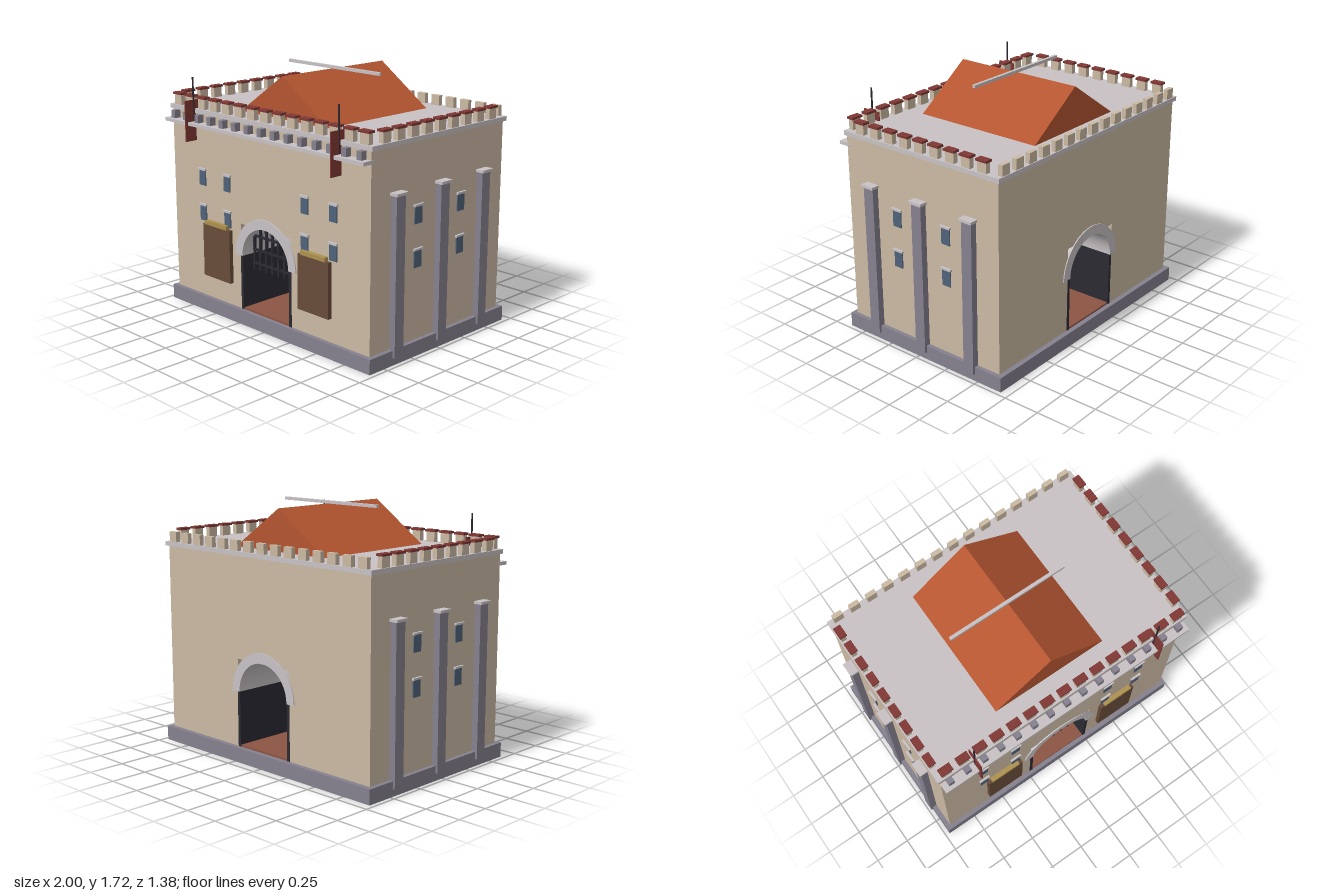
import * as THREE from 'three';

const mat = (name, color) => {
  const m = new THREE.MeshStandardMaterial({ color });
  m.name = name;
  return m;
};

export function createModel() {
  const M = {
    wall: mat('sandstone', 0xcbbaa3),
    stone: mat('paleStone', 0xc8c2c5),
    slate: mat('slateStone', 0x85808e),
    red: mat('darkRed', 0x803733),
    roof: mat('orangeTile', 0xb45530),
    wood: mat('brownWood', 0x694c3a),
    gold: mat('gold', 0xae9150),
    glass: mat('blueGlass', 0x50637a),
    iron: mat('iron', 0x2b2a33),
    brick: mat('brickFloor', 0x8c5442),
  };
  const root = new THREE.Group();
  root.name = 'gatehouse';

  const group = (name) => {
    const g = new THREE.Group();
    g.name = name;
    root.add(g);
    return g;
  };
  const add = (parent, name, geo, material) => {
    const m = new THREE.Mesh(geo, material);
    m.name = name;
    parent.add(m);
    return m;
  };
  // Box given by its limits on each axis
  const box = (parent, name, material, x0, x1, y0, y1, z0, z1) => {
    const m = add(parent, name, new THREE.BoxGeometry(Math.abs(x1 - x0), y1 - y0, z1 - z0), material);
    m.position.set((x0 + x1) / 2, (y0 + y1) / 2, (z0 + z1) / 2);
    return m;
  };
  const extrude = (shape, z0, z1, curveSegments = 24) => {
    const g = new THREE.ExtrudeGeometry(shape, { depth: z1 - z0, bevelEnabled: false, curveSegments });
    return g.translate(0, 0, z0);
  };
  const polygon = (pts) => new THREE.Shape(pts.map(([x, y]) => new THREE.Vector2(x, y)));

  // Plinth and walls with a square-headed passage running right through
  box(root, 'plinth', M.slate, -0.97, 0.97, 0, 0.1, -0.69, 0.63);
  const wallShape = polygon([
    [-0.94, 0.1], [-0.245, 0.1], [-0.245, 0.7], [0.245, 0.7],
    [0.245, 0.1], [0.94, 0.1], [0.94, 1.39], [-0.94, 1.39],
  ]);
  add(root, 'walls', extrude(wallShape, -0.655, 0.6), M.wall);
  box(root, 'roofDeck', M.stone, -0.957, 0.957, 1.39, 1.42, -0.673, 0.61);

  // Gate passage: vault, lining, floor
  const gate = group('gate');
  const ring = new THREE.Shape();
  ring.absarc(0, 0.48, 0.293, 0, Math.PI, false);
  ring.absarc(0, 0.48, 0.225, Math.PI, 0, true);
  add(gate, 'archVault', extrude(ring, -0.662, 0.608), M.stone);
  for (const s of [-1, 1]) {
    box(gate, 'passageLining', M.iron, s * 0.224, s * 0.246, 0.1, 0.48, -0.658, 0.604);
  }
  box(gate, 'passageFloor', M.brick, -0.224, 0.224, 0.1, 0.113, -0.655, 0.6);

  // Portcullis
  const portcullis = group('portcullis');
  for (let i = -3; i <= 3; i++) {
    box(portcullis, 'uprightBar', M.iron, i * 0.059 - 0.008, i * 0.059 + 0.008, 0.385, 0.69, 0.53, 0.546);
  }
  for (const y of [0.43, 0.525, 0.62, 0.695]) {
    box(portcullis, 'crossBar', M.iron, -0.19, 0.19, y - 0.007, y + 0.007, 0.531, 0.545);
  }

  // Front ledge carried by corbels
  const ledge = group('frontLedge');
  box(ledge, 'ledge', M.stone, -0.942, 0.942, 1.31, 1.333, 0.58, 0.67);
  const step = 0.126;
  for (let i = -7; i <= 7; i++) {
    const x = i * step;
    box(ledge, 'corbel', M.slate, x - 0.02, x + 0.02, 1.333, 1.387, 0.58, 0.645);
  }

  // Battlements: capped on the front and sides, plain at the back
  const battlements = group('battlements');
  const merlon = (x, z, w, d, cap) => {
    box(battlements, 'merlon', M.wall, x - w / 2, x + w / 2, 1.42, 1.49, z - d / 2, z + d / 2);
    if (!cap) return;
    const cw = w + 0.016, cd = d + 0.016;
    box(battlements, 'merlonCap', M.red, x - cw / 2, x + cw / 2, 1.49, 1.505, z - cd / 2, z + cd / 2);
  };
  for (let i = -7; i <= 7; i++) {
    merlon(i * step, 0.582, 0.07, 0.035, true);
    merlon(i * step, -0.651, 0.07, 0.032, false);
  }
  for (let i = 0; i < 9; i++) {
    for (const s of [-1, 1]) merlon(s * 0.93, -0.535 + i * step, 0.035, 0.068, true);
  }

  // Gabled roof with a cross bar on the ridge
  add(root, 'gableRoof', extrude(polygon([[-0.41, 1.42], [0.41, 1.42], [0, 1.7]]), -0.505, 0.435), M.roof);
  box(root, 'ridgeBar', M.stone, -0.425, 0.425, 1.698, 1.718, -0.04, -0.018);

  // Front windows, doors and banners, mirrored
  const front = group('frontDetails');
  for (const s of [-1, 1]) {
    for (const cx of [0.375, 0.63]) {
      for (const y of [0.645, 0.895]) {
        const x = s * cx;
        box(front, 'window', M.glass, x - 0.032, x + 0.032, y, y + 0.105, 0.598, 0.607);
        box(front, 'windowLintel', M.stone, x - 0.039, x + 0.039, y + 0.105, y + 0.12, 0.595, 0.614);
      }
    }
    box(front, 'board', M.wood, s * 0.333, s * 0.61, 0.26, 0.632, 0.595, 0.628);
    box(front, 'boardCrest', M.gold, s * 0.362, s * 0.582, 0.632, 0.66, 0.595, 0.633);
    const pole = add(front, 'bannerPole', new THREE.CylinderGeometry(0.006, 0.006, 0.3, 8), M.iron);
    pole.position.set(s * 0.692, 1.485, 0.617);
    box(front, 'banner', M.red, s * 0.692 - 0.004, s * 0.692 + 0.004, 1.2, 1.48, 0.555, 0.69);
  }

  // Side buttresses and windows, mirrored
  const sides = group('sideDetails');
  for (const s of [-1, 1]) {
    for (const z of [0.383, -0.03, -0.44]) {
      box(sides, 'buttress', M.slate, s * 0.93, s * 0.986, 0.05, 1.09, z - 0.04, z + 0.04);
      box(sides, 'buttressCap', M.stone, s * 0.93, s * 1.0, 1.09, 1.108, z - 0.05, z + 0.05);
    }
    for (const z of [0.176, -0.235]) {
      for (const y of [0.58, 0.865]) {
        box(sides, 'window', M.glass, s * 0.938, s * 0.947, y, y + 0.112, z - 0.034, z + 0.034);
        box(sides, 'windowLintel', M.stone, s * 0.935, s * 0.955, y + 0.112, y + 0.126, z - 0.042, z + 0.042);
      }
    }
  }

  return root;
}
